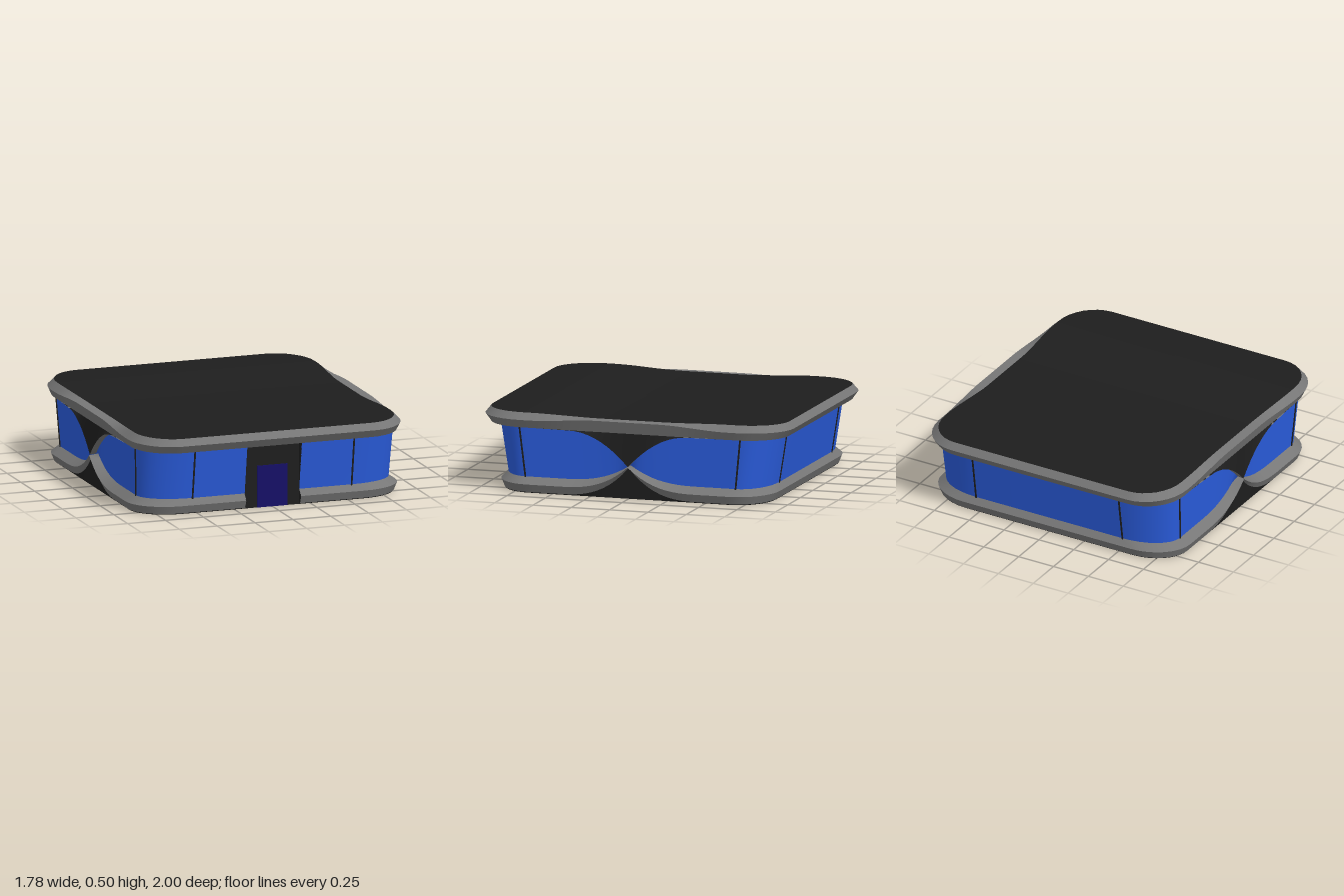
import * as THREE from 'three';

const mat = (color) => new THREE.MeshStandardMaterial({ color, side: THREE.DoubleSide });
const GAP = 0.18; // half width of the entrance
const CORNER = 8, SIDE = 32;

// Height rules along z: the lower rim sweeps up and the upper edge sweeps down to meet mid-side
const rise = (z) => Math.max(0, 1 - Math.abs(z) / 0.45) ** 2.76;
const fall = (z) => Math.max(0, 1 - Math.abs(z) / 0.38) ** 2;
const middle = (z) => 1 - THREE.MathUtils.smoothstep(Math.abs(z), 0.2, 0.65);
const mix = (a, b, rule) => (z) => a + (b - a) * rule(z);

// Rounded-rectangle ring from the entrance's left jamb, around the back, to its right jamb.
// hx, hz: half sizes; cx, cz: corner centres; y: height rule; pinch: narrowing mid-side
function ring(hx, hz, cx, cz, y, pinch = 0) {
  const half = [[GAP, hz]];
  for (let i = 0; i <= CORNER; i++) {
    const a = (i / CORNER) * Math.PI / 2;
    half.push([cx + (hx - cx) * Math.sin(a), cz + (hz - cz) * Math.cos(a)]);
  }
  for (let i = 1; i < SIDE; i++) {
    const z = cz * (1 - (2 * i) / SIDE);
    half.push([hx - pinch * middle(z), z]);
  }
  for (let i = CORNER; i >= 0; i--) {
    const a = (i / CORNER) * Math.PI / 2;
    half.push([cx + (hx - cx) * Math.sin(a), -cz - (hz - cz) * Math.cos(a)]);
  }
  half.push([GAP, -hz]);
  const points = half.map(([x, z]) => new THREE.Vector3(x, y(z), z));
  const mirrored = points.map((p) => new THREE.Vector3(-p.x, p.y, p.z)).reverse();
  return points.concat(mirrored);
}

// Collapses a ring onto the centre line, to fill a cap
const spine = (r) => r.map((p) => new THREE.Vector3(0, p.y, p.z));

// Skin between two rings, lower or inner first; collapsed triangles are left out
function loft(a, b, closed) {
  const n = a.length, pts = a.concat(b), index = [];
  const add = (i, j, k) => {
    if (new THREE.Triangle(pts[i], pts[j], pts[k]).getArea() > 1e-7) index.push(i, j, k);
  };
  for (let i = 0; i < (closed ? n : n - 1); i++) {
    const j = (i + 1) % n;
    add(i, j, n + j);
    add(i, n + j, n + i);
  }
  const g = new THREE.BufferGeometry().setFromPoints(pts);
  g.setIndex(index);
  g.computeVertexNormals();
  return g;
}

export function createModel() {
  const model = new THREE.Group();
  const grey = mat(0x777777), black = mat(0x1e1e1e), blue = mat(0x2a5cdc), navy = mat(0x150f66);

  const add = (name, geometry, material, parent = model) => {
    const mesh = new THREE.Mesh(geometry, material);
    mesh.name = name;
    parent.add(mesh);
    return mesh;
  };
  const group = (name) => {
    const g = new THREE.Group();
    g.name = name;
    model.add(g);
    return g;
  };
  const box = (name, w, h, d, x, y, z, material, parent) =>
    add(name, new THREE.BoxGeometry(w, h, d), material, parent).position.set(x, y, z);

  // Rings from the ground up
  const ground = ring(0.865, 0.875, 0.6, 0.66, () => 0);
  const rimLow = ring(0.87, 0.88, 0.6, 0.66, mix(0.005, 0.194, rise));
  const rimMid = ring(0.89, 0.9, 0.6, 0.66, mix(0.055, 0.2, rise));
  const rimTop = ring(0.83, 0.87, 0.525, 0.685, mix(0.095, 0.206, rise));
  const glassTop = ring(0.845, 0.92, 0.525, 0.72, mix(0.41, 0.207, fall));
  const edgeLow = ring(0.868, 0.965, 0.62, 0.7, mix(0.41, 0.203, fall), -0.018);
  const roofLow = ring(0.868, 0.965, 0.62, 0.7, () => 0.41);
  const roofMid = ring(0.89, 1, 0.63, 0.7, mix(0.46, 0.484, middle));
  const roofTop = ring(0.848, 0.968, 0.62, 0.7, mix(0.502, 0.488, middle), 0.022);

  // Base slab and the dark wedge walls under the raised rim
  const base = group('base');
  add('floor', loft(spine(ground), ground, false), black, base);
  add('lowerWedgeWall', loft(ground, rimLow, false), black, base);

  // Lower rim, open at the entrance
  const lowerRim = group('lowerRim');
  add('lowerRimUnderside', loft(rimLow, rimMid, false), grey, lowerRim);
  add('lowerRimSlope', loft(rimMid, rimTop, false), grey, lowerRim);

  // Window band
  add('windows', loft(rimTop, glassTop, false), blue);

  // Upper rim with soffit and the dark wedge walls hanging from it
  const upperRim = group('upperRim');
  add('soffit', loft(glassTop, edgeLow, true), grey, upperRim);
  add('upperWedgeWall', loft(edgeLow, roofLow, true), black, upperRim);
  add('upperRimUnderside', loft(roofLow, roofMid, true), grey, upperRim);
  add('upperRimSlope', loft(roofMid, roofTop, true), grey, upperRim);
  add('roof', loft(roofTop, spine(roofTop), true), black);

  // Window mullions at the ends of each corner pane
  const mullions = group('mullions');
  const bar = (a, b) => {
    const dir = b.clone().sub(a);
    const m = add('mullion', new THREE.BoxGeometry(0.01, dir.length(), 0.01), black, mullions);
    m.position.copy(a).lerp(b, 0.5);
    m.quaternion.setFromUnitVectors(new THREE.Vector3(0, 1, 0), dir.normalize());
  };
  for (const sx of [-1, 1]) {
    for (const sz of [-1, 1]) {
      bar(new THREE.Vector3(sx * 0.525, 0.09, sz * 0.869), new THREE.Vector3(sx * 0.525, 0.41, sz * 0.92));
      bar(new THREE.Vector3(sx * 0.83, 0.09, sz * 0.685), new THREE.Vector3(sx * 0.845, 0.41, sz * 0.72));
    }
  }

  // Entrance: back panel, jambs following the wall profile, door
  const entrance = group('entrance');
  box('entrancePanel', GAP * 2, 0.41, 0.06, 0, 0.205, 0.84, black, entrance);
  box('door', 0.2, 0.265, 0.02, 0, 0.1325, 0.868, navy, entrance);
  const profile = [[0.85, 0.002], [0.88, 0.005], [0.9, 0.055], [0.87, 0.095], [0.92, 0.41], [0.85, 0.41]];
  const jamb = new THREE.ExtrudeGeometry(
    new THREE.Shape(profile.map(([z, y]) => new THREE.Vector2(z, y))),
    { depth: 0.004, bevelEnabled: false }
  ).rotateY(-Math.PI / 2);
  add('jambLeft', jamb, black, entrance).position.x = GAP + 0.002;
  add('jambRight', jamb, black, entrance).position.x = -GAP + 0.002;

  return model;
}
